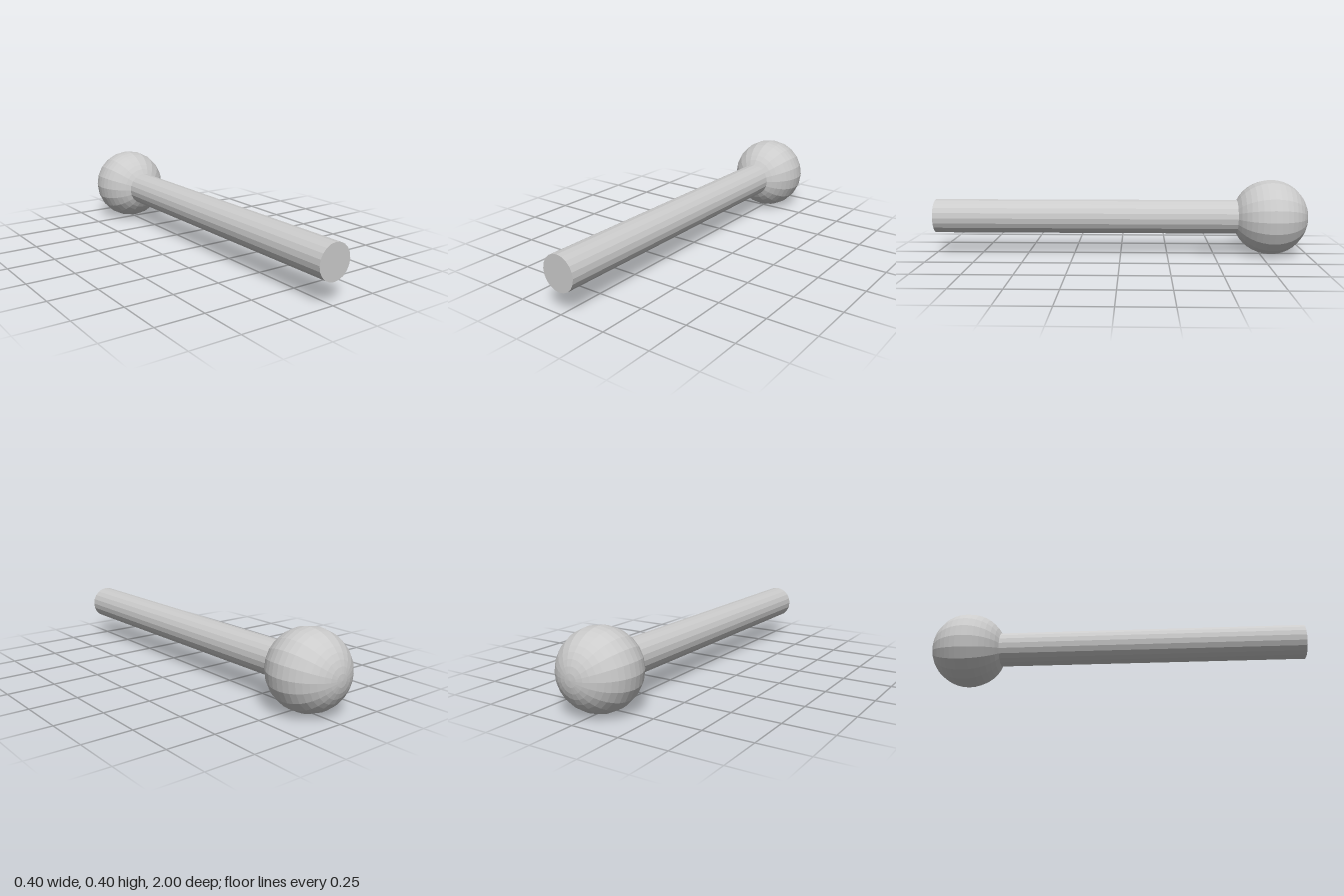
import * as THREE from 'three';

const SIDES = 20;
const RADIUS = 0.2;
const STEP = Math.PI / SIDES; // angle between ball rings

export function createModel() {
  const group = new THREE.Group();
  group.name = 'ballEndedRod';
  const material = new THREE.MeshStandardMaterial({ color: 0xcccccc, flatShading: true });

  // Turned part: profile points are (radius, z), spun around the z axis
  function addTurned(name, profile) {
    const geometry = new THREE.LatheGeometry(profile, SIDES);
    geometry.rotateX(Math.PI / 2);
    geometry.translate(0, RADIUS, 0);
    const mesh = new THREE.Mesh(geometry, material);
    mesh.name = name;
    group.add(mesh);
  }

  // Ball, from the back pole to the ring where the rod grows out
  const ball = [];
  for (let i = 0; i <= SIDES - 3; i++) {
    const a = i * STEP;
    ball.push(new THREE.Vector2(RADIUS * Math.sin(a), -0.8 - RADIUS * Math.cos(a)));
  }
  addTurned('ball', ball);

  // Rod continues from the last ball ring and is closed by a flat cap
  const neck = ball[ball.length - 1];
  addTurned('rod', [neck, new THREE.Vector2(neck.x, 1)]);
  addTurned('rodEndCap', [new THREE.Vector2(neck.x, 1), new THREE.Vector2(0, 1)]);

  return group;
}
